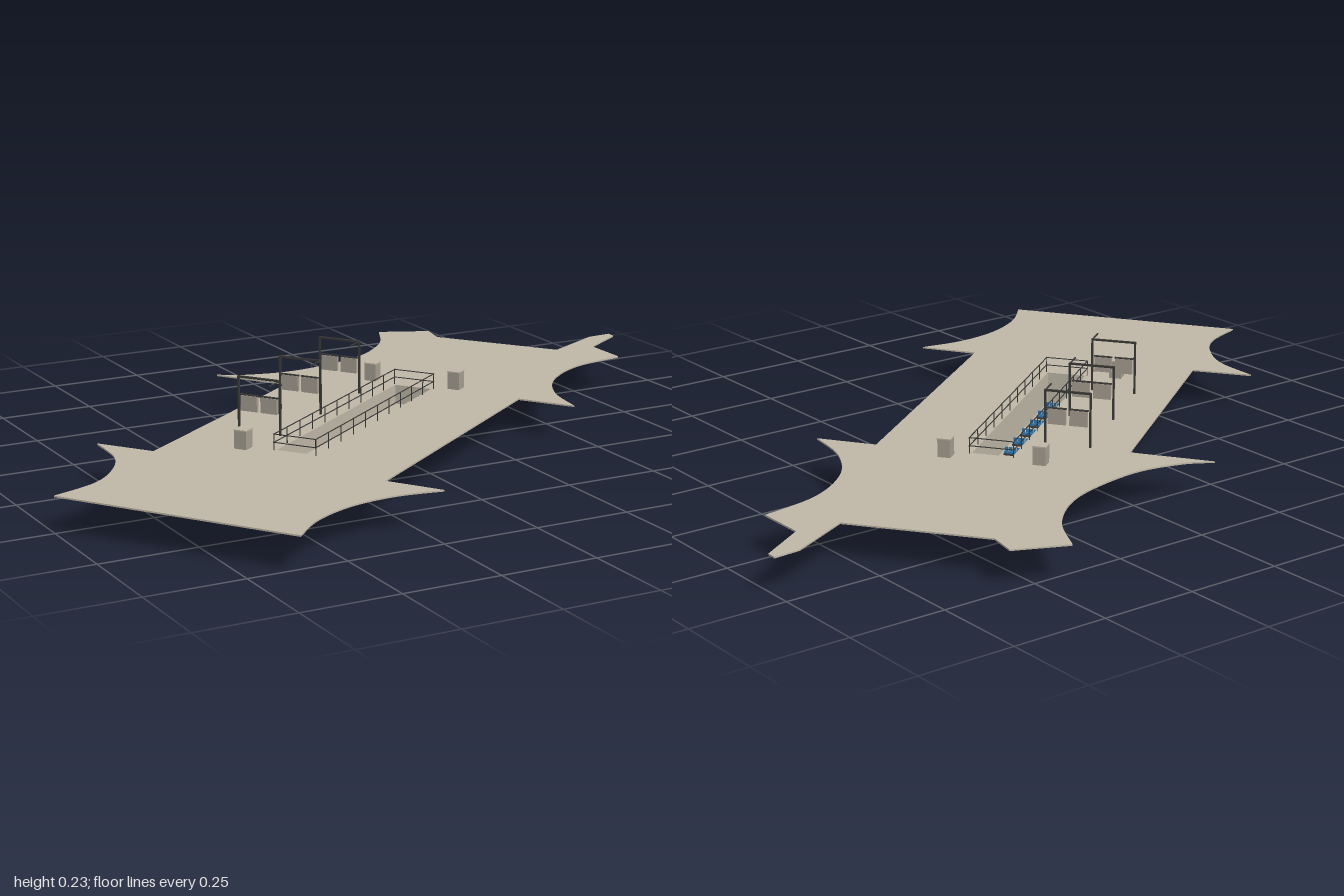
import * as THREE from 'three';

export function createModel() {
  const model = new THREE.Group();
  model.name = 'sunkenPlaza';
  const mat = (name, color) => {
    const m = new THREE.MeshStandardMaterial({ color });
    m.name = name;
    return m;
  };
  const stone = mat('stone', 0xc0b8a8);
  const concrete = mat('concrete', 0xa79f92);
  const dark = mat('darkMetal', 0x3a3a38);
  const blue = mat('blueSeat', 0x2f78b0);

  // Street level height and pit dimensions
  const G = 0.092, T = 0.004, L = 0.353, W = 0.06, A = Math.PI / 5;
  const CX = -0.072, CZ = 0;
  const toWorld = (u, v) => [
    CX + u * Math.cos(A) + v * Math.sin(A), CZ - u * Math.sin(A) + v * Math.cos(A)];

  // Ground slab with concave corners and a hole over the pit
  const v2 = ([x, z]) => new THREE.Vector2(x, -z);
  const s = new THREE.Shape();
  const line = (...pts) => pts.forEach(([x, z]) => s.lineTo(x, -z));
  const curve = (...pts) => s.splineThru(pts.map(v2));
  s.moveTo(-1, -0.25);
  line([-0.635, 0.785]);
  curve([-0.55, 0.703], [-0.435, 0.646], [-0.31, 0.628], [-0.19, 0.645]);
  line([-0.275, 0.515], [0.39, 0.035], [0.48, 0.165]);
  curve([0.507, 0.03], [0.585, -0.095], [0.715, -0.185], [0.875, -0.218]);
  line([0.875, -0.35], [1, -0.43], [1, -0.455], [0.93, -0.45], [0.765, -0.365],
    [0.545, -0.66], [0.56, -0.735], [0.428, -0.795]);
  curve([0.355, -0.665], [0.22, -0.56], [0.02, -0.512], [-0.12, -0.532], [-0.197, -0.573]);
  line([-0.075, -0.395], [-0.65, 0.025], [-0.745, -0.105]);
  curve([-0.755, 0.03], [-0.81, 0.135], [-0.885, 0.205], [-1, 0.25]);
  const i = 0.008;
  s.holes.push(new THREE.Path([[-L + i, -W + i], [L - i, -W + i], [L - i, W - i], [-L + i, W - i]]
    .map(([u, v]) => v2(toWorld(u, v)))));
  const slabGeo = new THREE.ExtrudeGeometry(s, { depth: T, bevelEnabled: false, curveSegments: 24 });
  slabGeo.rotateX(-Math.PI / 2);
  const slab = new THREE.Mesh(slabGeo, stone);
  slab.name = 'groundSlab';
  slab.position.y = G - T;
  model.add(slab);

  // Everything else follows the long axis of the pit
  const station = new THREE.Group();
  station.name = 'station';
  station.position.set(CX, 0, CZ);
  station.rotation.y = A;
  model.add(station);
  const box = (parent, name, m, w, h, d, x, y, z) => {
    const mesh = new THREE.Mesh(new THREE.BoxGeometry(w, h, d), m);
    mesh.name = name;
    mesh.position.set(x, y + h / 2, z);
    parent.add(mesh);
  };

  // Pit walls, floor and ledge
  const H = G - T;
  box(station, 'pitFloor', stone, 2 * L, 0.008, 2 * W, 0, 0, 0);
  for (const k of [-1, 1]) {
    box(station, 'longWall', stone, 2 * L, H - 0.008, i, 0, 0.008, k * (W - i / 2));
    box(station, 'endWall', stone, i, H - 0.008, 2 * (W - i), k * (L - i / 2), 0.008, 0);
  }
  box(station, 'ledge', stone, 2 * (L - i), 0.032, 0.036, 0, 0.008, -W + i + 0.018);
  box(station, 'ledgeEdge', dark, 2 * (L - i), 0.003, 0.004, 0, 0.04, -0.016);

  // Rows of seats across the pit floor
  for (let n = 0; n < 8; n++) {
    const row = new THREE.Group();
    row.name = 'seatRow';
    row.position.set(-0.283 + n * 0.0767, 0.008, 0.016);
    for (let k = 0; k < 5; k++) {
      box(row, 'seat', blue, 0.011, 0.009, 0.008, 0, 0, (k - 2) * 0.0105);
      box(row, 'seatBack', blue, 0.003, 0.018, 0.008, -0.006, 0, (k - 2) * 0.0105);
    }
    box(row, 'seatBar', dark, 0.003, 0.004, 0.052, 0.007, 0, 0);
    station.add(row);
  }

  // Railings around the opening
  const r = 0.002;
  for (const y of [0.111, 0.132]) {
    for (const k of [-1, 1]) {
      box(station, 'longRail', dark, 2 * L, r, r, 0, y, k * (W - 0.003));
      box(station, 'endRail', dark, r, r, 2 * W - 0.006, k * (L - 0.003), y, 0);
    }
  }
  for (let n = 0; n <= 10; n++) {
    for (const k of [-1, 1]) {
      box(station, 'railPost', dark, r, 0.042, r, (n / 5 - 1) * (L - 0.003), G, k * (W - 0.003));
    }
  }

  // Sign gantries behind the pit
  for (const u of [-0.23, -0.005, 0.225]) {
    const g = new THREE.Group();
    g.name = 'signGantry';
    g.position.set(u, G, -0.16);
    for (const k of [-1, 1]) {
      box(g, 'gantryPost', dark, 0.005, 0.142, 0.005, 0, 0, k * 0.058);
      box(g, 'signPanel', concrete, 0.009, 0.04, 0.046, 0, 0.054, k * 0.028);
      box(g, 'signFrame', dark, 0.006, 0.003, 0.05, 0, 0.094, k * 0.028);
    }
    box(g, 'topBeam', dark, 0.005, 0.005, 0.121, 0, 0.138, 0);
    box(g, 'sideArm', dark, 0.055, 0.003, 0.003, -0.0275, 0.139, 0.058);
    station.add(g);
  }

  // Service cabinets
  for (const [x, z] of [[-0.445, 0.104], [0.15, -0.325], [0.3, -0.137]]) {
    const c = new THREE.Group();
    c.name = 'cabinet';
    c.position.set(x, G, z);
    c.rotation.y = A;
    box(c, 'cabinetBody', concrete, 0.033, 0.046, 0.033, 0, 0, 0);
    box(c, 'cabinetLid', stone, 0.035, 0.003, 0.035, 0, 0.046, 0);
    model.add(c);
  }
  return model;
}
